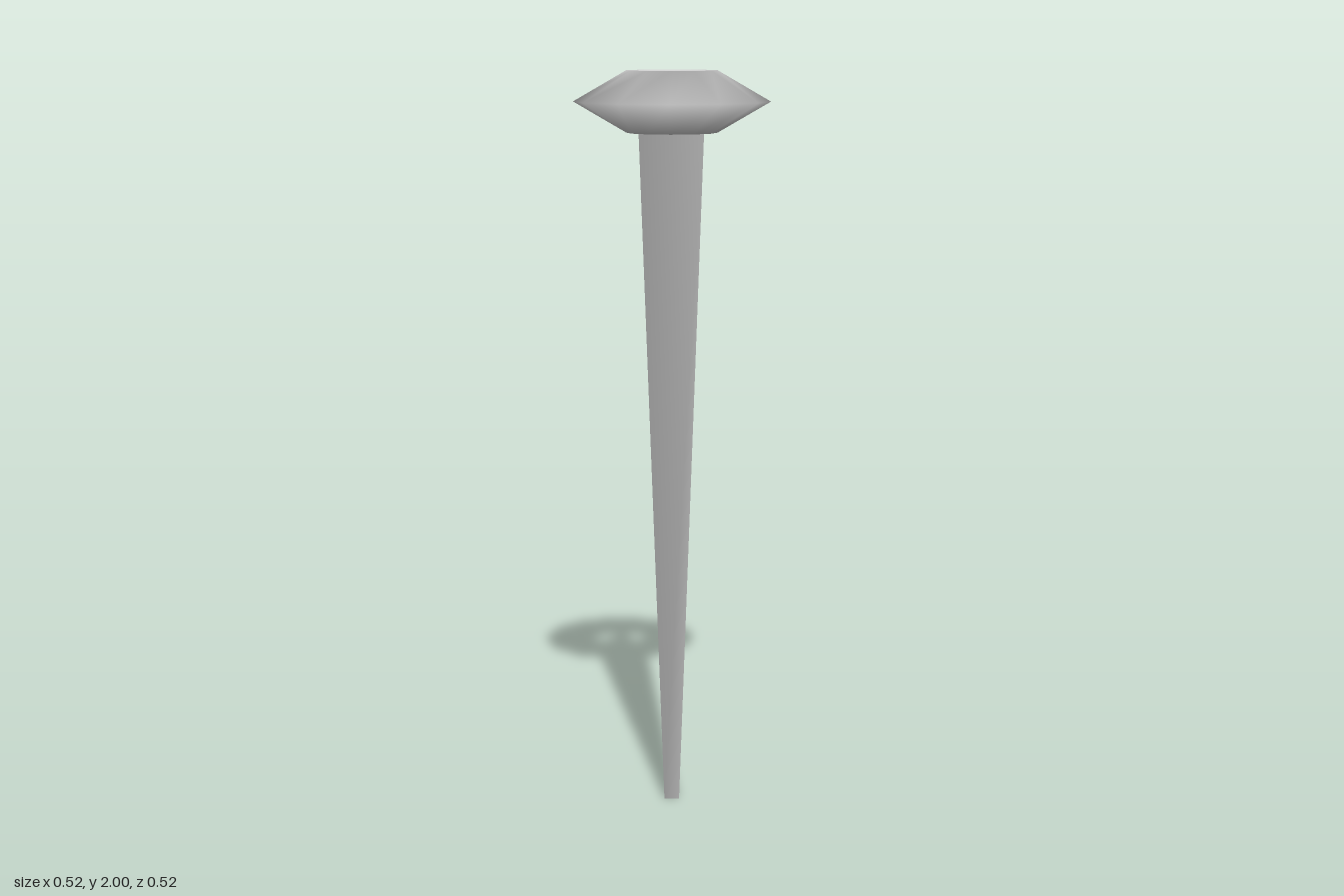
import * as THREE from 'three';

export function createModel() {
  const group = new THREE.Group();
  const material = new THREE.MeshStandardMaterial({ color: 0xcccccc });

  // Tapered three-sided shaft, one corner pointing to +x
  const shaftHeight = 1.87;
  const shaft = new THREE.Mesh(
    new THREE.CylinderGeometry(0.1, 0.0235, shaftHeight, 3, 1, false, Math.PI / 2),
    material
  );
  shaft.name = 'shaft';
  shaft.position.y = shaftHeight / 2;
  group.add(shaft);

  // Ring head: triangular section, twelve segments, open in the middle
  const tube = 0.0933;
  const ring = new THREE.Mesh(new THREE.TorusGeometry(0.1667, tube, 3, 12), material);
  ring.name = 'ringHead';
  ring.rotation.x = Math.PI / 2;
  ring.position.y = 2 - tube * Math.sin(Math.PI / 3);
  group.add(ring);

  return group;
}
